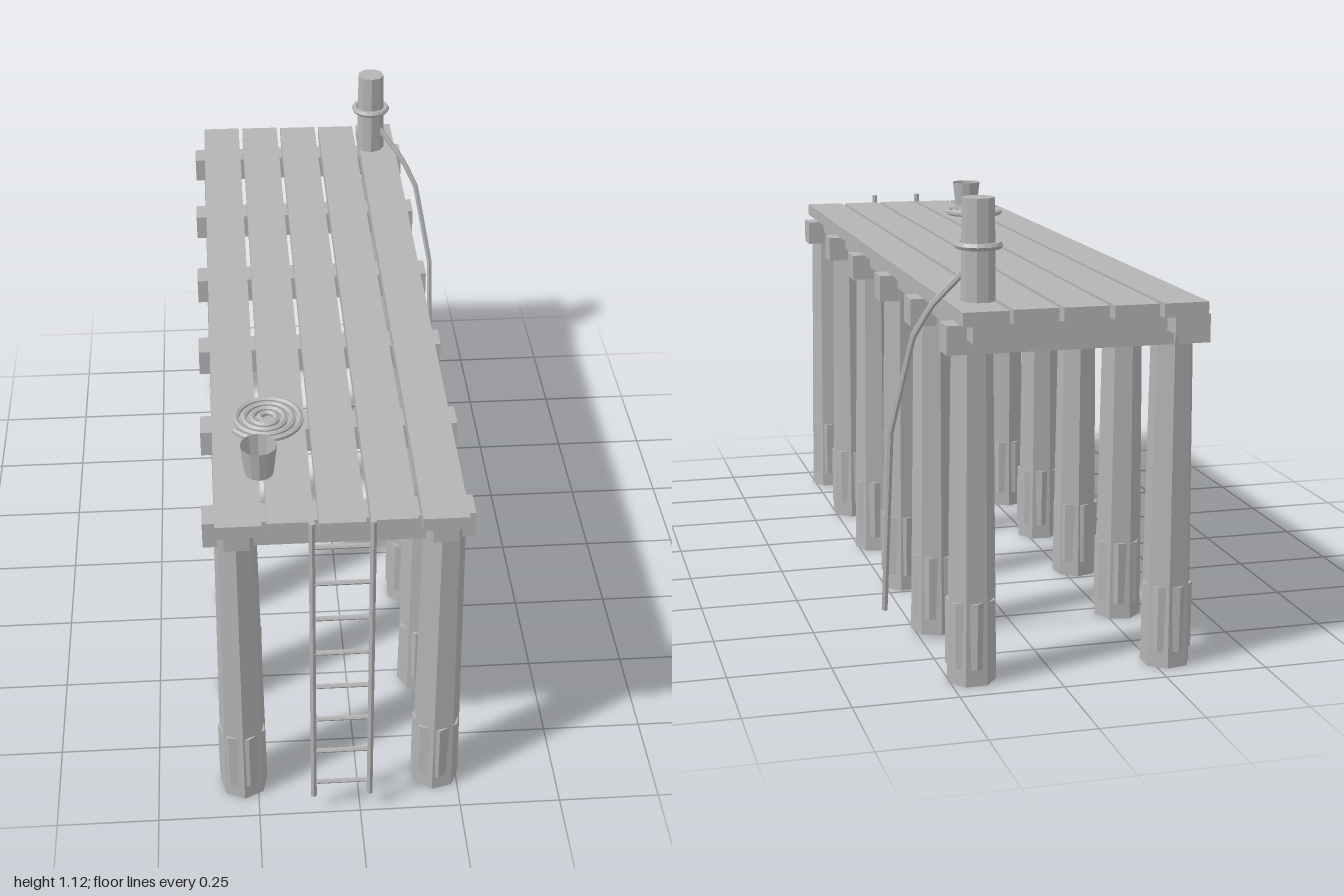
import * as THREE from 'three';

export function createModel() {
  const root = new THREE.Group();
  root.name = 'pier';
  const grey = new THREE.MeshStandardMaterial({ color: 0xb4b4b4, flatShading: true });
  grey.name = 'weathered grey';
  const openGrey = new THREE.MeshStandardMaterial({ color: 0xb4b4b4, flatShading: true, side: THREE.DoubleSide });
  openGrey.name = 'weathered grey, open';

  const add = (name, geometry, x, y, z, material = grey) => {
    const mesh = new THREE.Mesh(geometry, material);
    mesh.name = name;
    mesh.position.set(x, y, z);
    root.add(mesh);
    return mesh;
  };
  // box from its minimum and maximum corners
  const box = (name, x0, x1, y0, y1, z0, z1) =>
    add(name, new THREE.BoxGeometry(x1 - x0, y1 - y0, z1 - z0), (x0 + x1) / 2, (y0 + y1) / 2, (z0 + z1) / 2);

  // Deck planks, with slightly uneven ends
  const front = [0.97, 0.963, 0.97, 0.966, 0.97];
  const back = [-1, -0.998, -0.994, -0.992, -1];
  for (let i = 0; i < 5; i++) {
    const x = -0.278 + i * 0.117;
    box('deckPlank', x - 0.053, x + 0.053, 0.857, 0.89, back[i], front[i]);
  }

  // Long stringers under the outer planks
  for (const x of [-0.283, 0.19]) box('stringer', x - 0.029, x + 0.029, 0.817, 0.858, -0.995, 0.965);

  // Cross beams and tapered piles with a waterline band
  for (let i = 0; i < 6; i++) {
    const z = 0.87 - i * 0.355;
    box('crossBeam', -0.36, 0.266, 0.783, 0.85, z - 0.035, z + 0.035);
    [-0.285, 0.197].forEach((x, side) => {
      const turn = i * 1.3 + side * 0.7;
      const pile = add('pile', new THREE.CylinderGeometry(0.05, 0.06, 0.82, 7), x, 0.41, z + 0.012);
      pile.rotation.y = turn;
      const band = add('waterlineBand', new THREE.CylinderGeometry(0.06, 0.06, 0.16, 7), x, 0.12, z + 0.012);
      band.rotation.y = turn + 0.25 + 0.1 * (i % 3);
    });
  }

  // Ladder at the front end
  for (const x of [-0.115, 0.023]) add('ladderRail', new THREE.CylinderGeometry(0.008, 0.008, 0.855, 6), x, 0.4825, 0.992);
  for (let i = 0; i < 8; i++) {
    const rung = add('ladderRung', new THREE.CylinderGeometry(0.006, 0.006, 0.138, 6), -0.046, 0.1 + i * 0.1058, 0.992);
    rung.rotation.z = Math.PI / 2;
  }

  // Mooring post with a loop of rope
  add('mooringPost', new THREE.CylinderGeometry(0.038, 0.041, 0.265, 9), 0.17, 0.9925, -0.855);
  const loop = add('ropeLoop', new THREE.TorusGeometry(0.047, 0.009, 6, 20), 0.17, 1.017, -0.855);
  loop.rotation.x = Math.PI / 2;

  // Rope hanging over the side
  const hang = [
    [0.19, 0.965, -0.84], [0.265, 0.87, -0.79], [0.302, 0.795, -0.765],
    [0.345, 0.56, -0.713], [0.35, 0.1, -0.652],
  ].map((p) => new THREE.Vector3(...p));
  const path = new THREE.CurvePath();
  for (let i = 1; i < hang.length; i++) path.add(new THREE.LineCurve3(hang[i - 1], hang[i]));
  add('hangingRope', new THREE.TubeGeometry(path, 30, 0.008, 6), 0, 0, 0, openGrey);

  // Flat spiral of coiled rope
  const spiral = [];
  for (let i = 0; i <= 80; i++) {
    const t = i / 80;
    const a = 2.6 + (t - 1) * Math.PI * 8;
    const r = 0.014 + 0.076 * t;
    spiral.push(new THREE.Vector3(Math.cos(a) * r, 0, Math.sin(a) * r));
  }
  add('ropeCoil', new THREE.TubeGeometry(new THREE.CatmullRomCurve3(spiral), 140, 0.008, 6),
    -0.2, 0.903, 0.573, openGrey);

  // Open bucket
  const profile = [[0, 0.002], [0.034, 0.002], [0.043, 0.08]].map((p) => new THREE.Vector2(...p));
  add('bucket', new THREE.LatheGeometry(profile, 12), -0.224, 0.89, 0.772, openGrey);

  return root;
}
